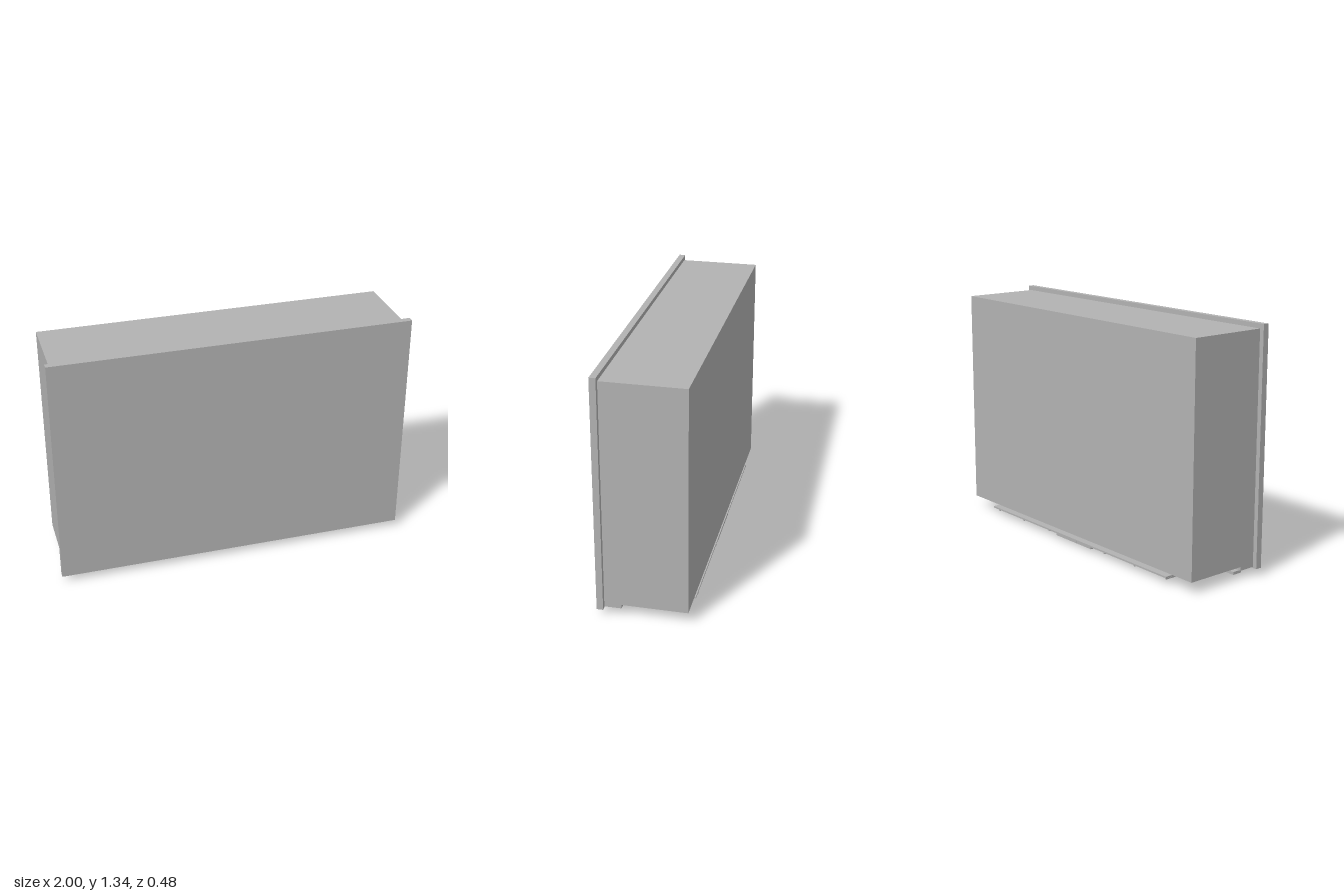
import * as THREE from 'three';

const gray = new THREE.MeshStandardMaterial({ color: 0xb2b2b2 });
gray.name = 'gray';

// Box given by its minimum and maximum on each axis
function block(name, [x0, x1], [y0, y1], [z0, z1]) {
  const mesh = new THREE.Mesh(new THREE.BoxGeometry(x1 - x0, y1 - y0, z1 - z0), gray);
  mesh.position.set((x0 + x1) / 2, (y0 + y1) / 2, (z0 + z1) / 2);
  mesh.name = name;
  return mesh;
}

export function createModel() {
  const model = new THREE.Group();
  model.name = 'wallCabinet';

  // Cabinet body: side profile with a lip under the front edge
  const profile = new THREE.Shape([
    [0.241, 0.067], [0.241, 1.32], [-0.206, 1.32], [-0.206, 0.046], [-0.114, 0.046], [-0.114, 0.067],
  ].map(([a, b]) => new THREE.Vector2(a, b)));
  const body = new THREE.Mesh(new THREE.ExtrudeGeometry(profile, { depth: 1.95, bevelEnabled: false }), gray);
  body.rotation.y = Math.PI / 2;
  body.position.x = -0.975;
  body.name = 'body';
  model.add(body);

  // Front panel, slightly larger than the body
  model.add(block('frontPanel', [-1, 1], [0.04, 1.345], [0.206, 0.241]));

  // Underside tray with cross ribs
  const tray = new THREE.Group();
  tray.name = 'undersideTray';
  tray.add(block('trayPlate', [-0.785, 0.785], [0.034, 0.043], [-0.241, 0.087]));
  for (let i = 0; i < 7; i++) {
    const x = -0.782 + i * 0.251;
    tray.add(block('trayRib', [x - 0.004, x + 0.004], [0.028, 0.034], [-0.241, 0.087]));
  }
  model.add(tray);

  // Stepped plate in the middle of the tray
  model.add(block('centerPlate', [-0.158, 0.153], [0.022, 0.034], [-0.239, -0.013]));
  model.add(block('centerPlateFace', [-0.147, 0.142], [0.015, 0.022], [-0.227, -0.026]));

  // Low strip near the front edge
  model.add(block('frontStrip', [-0.912, -0.41], [0.002, 0.018], [0.125, 0.182]));

  return model;
}
